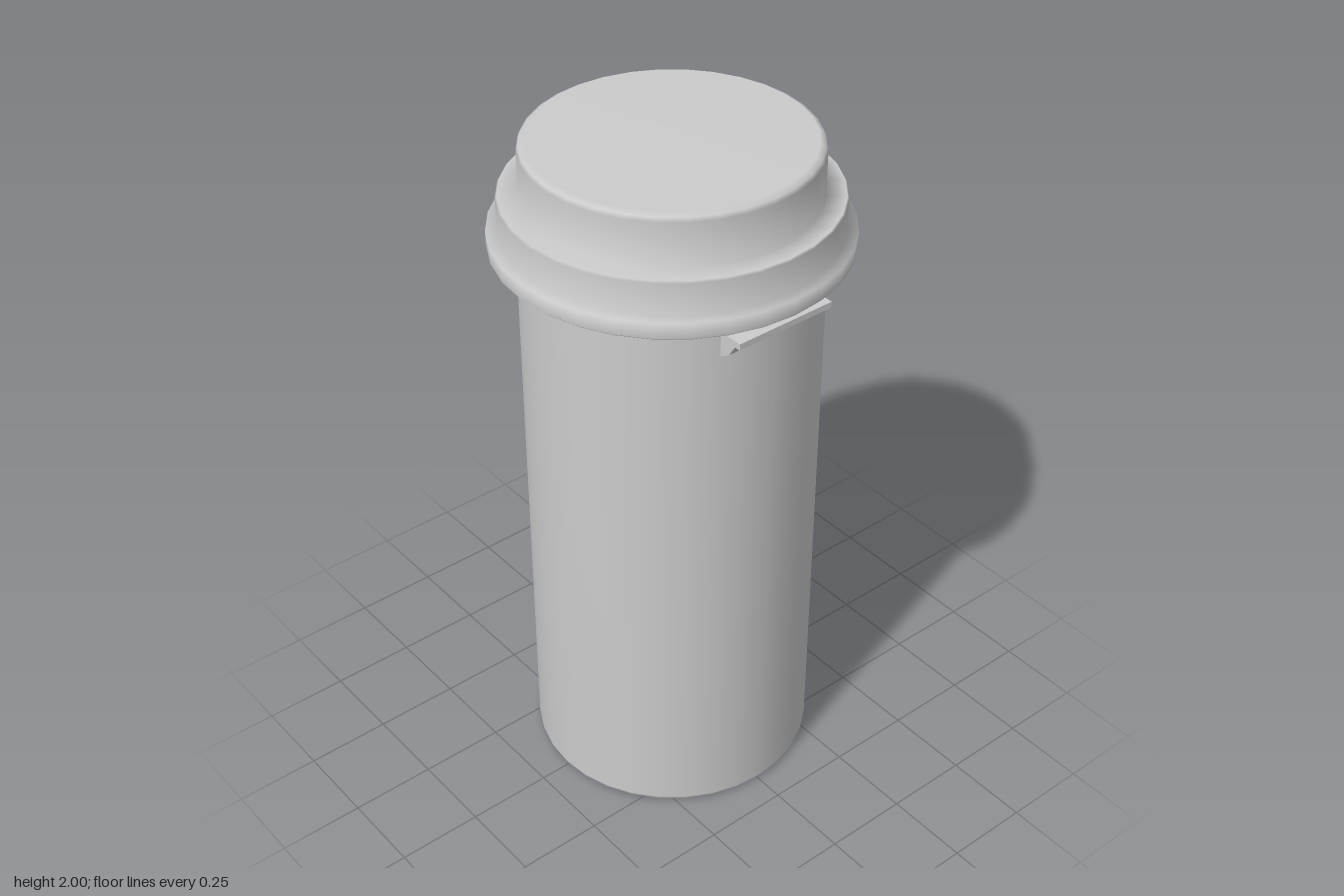
import * as THREE from 'three';

const SIDES = 32;
const material = new THREE.MeshStandardMaterial({ color: 0xcccccc, side: THREE.DoubleSide });

// Smoothly shaded turned part from [radius, height] pairs, bottom to top
function turned(name, profile) {
  const points = profile.map(([r, y]) => new THREE.Vector2(r, y));
  const mesh = new THREE.Mesh(new THREE.LatheGeometry(points, SIDES), material);
  mesh.name = name;
  return mesh;
}

export function createModel() {
  const group = new THREE.Group();
  group.name = 'cappedBottle';

  // Tall body with softened rims and a narrow neck running up into the cap
  group.add(turned('body', [
    [0, 0], [0.395, 0], [0.408, 0.005], [0.413, 0.02],
    [0.413, 1.675], [0.408, 1.688], [0.395, 1.69], [0.395, 1.72],
  ]));

  // Stepped cap: wide flange, middle ring and raised crown
  group.add(turned('cap', [
    [0.39, 1.7], [0.485, 1.7], [0.49, 1.705], [0.49, 1.75],
    [0.46, 1.75], [0.46, 1.845], [0.455, 1.85],
    [0.4, 1.85], [0.4, 1.98], [0.395, 1.992], [0.38, 2], [0, 2],
  ]));

  // Thumb tab on the left side, sloping back into the body underneath
  const outline = new THREE.Shape([
    [0.36, 1.585], [0.385, 1.59], [0.415, 1.61], [0.437, 1.645],
    [0.455, 1.645], [0.455, 1.663], [0.36, 1.663],
  ].map(([x, y]) => new THREE.Vector2(x, y)));
  const tabGeometry = new THREE.ExtrudeGeometry(outline, { depth: 0.31, bevelEnabled: false });
  tabGeometry.translate(0, 0, -0.155);
  const tab = new THREE.Mesh(tabGeometry, material);
  tab.name = 'thumbTab';
  group.add(tab);

  return group;
}
